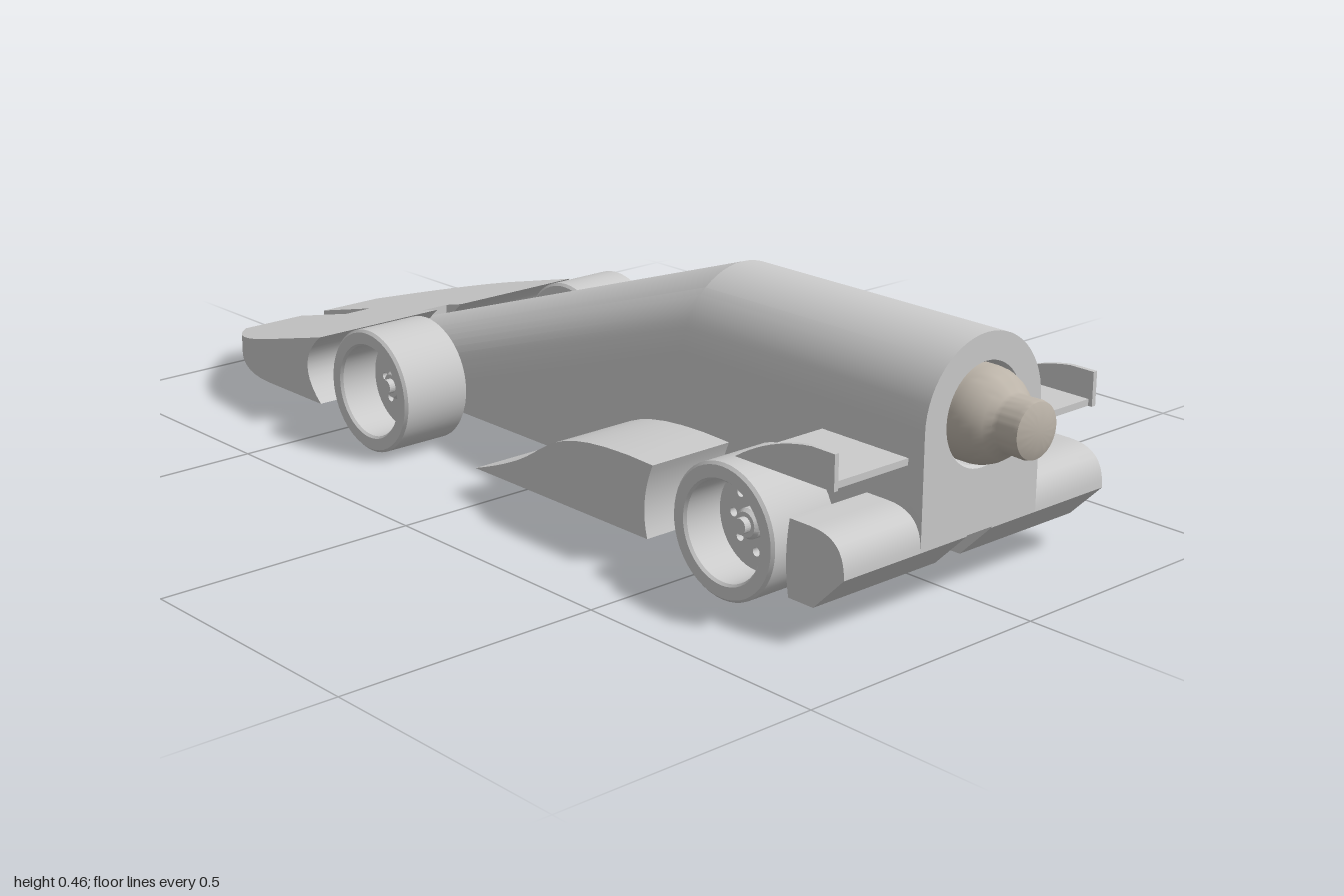
import * as THREE from 'three';
import { toCreasedNormals } from 'three/addons/utils/BufferGeometryUtils.js';

const grey = new THREE.MeshStandardMaterial({ color: 0xcccccc });
const steel = new THREE.MeshStandardMaterial({ color: 0xbbb3a8 });
const BOTTOM = 0.055, GROOVE = 0.11, GROOVE_W = 0.03;

function part(parent, name, geometry, material = grey, crease = 0.3) {
  const mesh = new THREE.Mesh(crease ? toCreasedNormals(geometry, crease) : geometry, material);
  mesh.name = name;
  parent.add(mesh);
  return mesh;
}

// Joins counter-clockwise [x, y] outlines placed from the largest z to the smallest
function loft(stations, outline, capFirst = true) {
  const pos = [], index = [];
  const rings = stations.map(outline);
  const n = rings[0].length;
  rings.forEach((ring, i) => ring.forEach(([x, y]) => pos.push(x, y, stations[i])));
  for (let i = 0; i < rings.length - 1; i++) {
    for (let j = 0; j < n; j++) {
      const a = i * n + j, b = i * n + (j + 1) % n;
      index.push(a, a + n, b, b, a + n, b + n);
    }
  }
  const cap = (i, flip) => {
    const contour = rings[i].map(([x, y]) => new THREE.Vector2(x, y));
    for (const [a, b, c] of THREE.ShapeUtils.triangulateShape(contour, [])) {
      index.push(i * n + a, i * n + (flip ? c : b), i * n + (flip ? b : c));
    }
  };
  if (capFirst) cap(0, false);
  cap(rings.length - 1, true);
  const g = new THREE.BufferGeometry();
  g.setAttribute('position', new THREE.Float32BufferAttribute(pos, 3));
  g.setIndex(index);
  return g;
}

// Extrudes a (z, y) side profile between two x values on side s
function sidePiece(shape, s, x0, x1) {
  const g = new THREE.ExtrudeGeometry(shape, { depth: x1 - x0, bevelEnabled: false, curveSegments: 10 });
  return g.rotateY(-Math.PI / 2).translate(s > 0 ? x1 : -x0, 0, 0);
}

const lathe = (points, segments = 48) =>
  new THREE.LatheGeometry(points.map(([r, h]) => new THREE.Vector2(r, h)), segments);

// Arched body section, with the string groove in its underside
function bodyOutline(z) {
  const top = z > 0.325 ? 0.46 : 0.46 - (0.325 - z) / 3;
  const b = z > 0.82 ? BOTTOM + (z - 0.82) : BOTTOM;
  const g = Math.max(GROOVE, b + 0.002);
  const spring = Math.max(top - 0.14, b + 0.001);
  const pts = [[GROOVE_W, g], [GROOVE_W, b], [0.14, b]];
  for (let i = 0; i <= 28; i++) {
    const a = Math.PI * i / 28;
    pts.push([0.14 * Math.cos(a), spring + (top - spring) * Math.sin(a)]);
  }
  pts.push([-0.14, b], [-GROOVE_W, b], [-GROOVE_W, g]);
  return pts;
}

// Nose wedge height and rounded planform
const noseTop = z => 0.07 + 0.25 * (z + 1);
const noseHalfWidth = z => 0.315 - 0.145 * Math.pow(Math.max(0, (-z - 0.7) / 0.3), 1.8);

function addNose(group) {
  const zs = [-0.565, -0.7, -0.73, -0.76, -0.79, -0.83];
  part(group, 'nose', loft(zs, z => {
    const w = noseHalfWidth(z), t = noseTop(z);
    return [[GROOVE_W, GROOVE], [GROOVE_W, BOTTOM], [w, BOTTOM], [w, t],
      [-w, t], [-w, BOTTOM], [-GROOVE_W, BOTTOM], [-GROOVE_W, GROOVE]];
  }));
  const tips = [-0.83, -0.86, -0.89, -0.92, -0.95, -0.975, -1];
  const back = new THREE.Shape();
  back.moveTo(-0.566, BOTTOM);
  back.lineTo(-0.52, BOTTOM);
  back.quadraticCurveTo(-0.605, 0.125, -0.515, noseTop(-0.515));
  back.lineTo(-0.566, noseTop(-0.566));
  for (const s of [1, -1]) {
    part(group, 'noseTip', loft(tips, z => {
      const w = noseHalfWidth(z), t = noseTop(z);
      const x0 = s > 0 ? GROOVE_W : -w, x1 = s > 0 ? w : -GROOVE_W;
      return [[x0, BOTTOM], [x1, BOTTOM], [x1, t], [x0, t]];
    }));
    part(group, 'noseWheelArch', sidePiece(back, s, GROOVE_W, 0.315));
  }
}

function addWheel(group, s, z) {
  const wheel = new THREE.Group();
  wheel.name = 'wheel';
  const turn = g => g.rotateZ(-s * Math.PI / 2);
  part(wheel, 'tyre', turn(lathe([[0.092, 0.17], [0.114, 0.17], [0.119, 0.175], [0.119, 0.31],
    [0.114, 0.315], [0.092, 0.315], [0.088, 0.31], [0.088, 0.175], [0.092, 0.17]])));
  // Drilled web
  const disc = new THREE.Shape().absarc(0, 0, 0.089, 0, Math.PI * 2);
  for (let i = 0; i < 8; i++) {
    const a = i * Math.PI / 4;
    const hole = new THREE.Path();
    hole.absarc(0.055 * Math.cos(a), 0.055 * Math.sin(a), 0.008, 0, Math.PI * 2, true);
    disc.holes.push(hole);
  }
  const web = new THREE.ExtrudeGeometry(disc, { depth: 0.02, bevelEnabled: false, curveSegments: 20 });
  part(wheel, 'wheelWeb', web.rotateY(Math.PI / 2).translate(s > 0 ? 0.215 : -0.235, 0, 0));
  part(wheel, 'hub', turn(lathe([[0, 0.16], [0.022, 0.16], [0.027, 0.2], [0.027, 0.255],
    [0.022, 0.262], [0.014, 0.262], [0.014, 0.275], [0, 0.275]], 24)));
  wheel.position.set(0, 0.12, z);
  group.add(wheel);
}

export function createModel() {
  const group = new THREE.Group();
  group.name = 'dragster';

  // Body shell, end face with bore
  part(group, 'body', loft([0.885, 0.82, 0.325, -0.48, -0.62], bodyOutline, false), grey, 0.25);
  const face = new THREE.Shape(bodyOutline(0.885).map(([x, y]) => new THREE.Vector2(x, y)));
  const bore = new THREE.Path();
  bore.absarc(0, 0.322, 0.09, 0, Math.PI * 2, true);
  face.holes.push(bore);
  part(group, 'endFace', new THREE.ShapeGeometry(face, 24).translate(0, 0, 0.885));
  const boreGeo = lathe([[0.09, 0.885], [0.086, 0.878], [0.086, 0.8], [0.05, 0.8]]);
  part(group, 'bore', boreGeo.rotateX(Math.PI / 2).translate(0, 0.322, 0),
    new THREE.MeshStandardMaterial({ color: 0xcccccc, side: THREE.DoubleSide }));

  // Gas cartridge
  const cartridge = lathe([[0.082, 0.8], [0.082, 0.885], [0.08, 0.9], [0.073, 0.918], [0.062, 0.934],
    [0.051, 0.944], [0.049, 0.952], [0.05, 0.985], [0.048, 0.993], [0.03, 1], [0, 1]]);
  part(group, 'cartridge', cartridge.rotateX(Math.PI / 2).translate(0, 0.322, 0), steel, 0.6);

  addNose(group);

  // Side profiles, as (z, y)
  const pod = new THREE.Shape();
  pod.moveTo(-0.035, BOTTOM);
  pod.lineTo(0.43, BOTTOM);
  pod.quadraticCurveTo(0.41, 0.12, 0.443, 0.19);
  pod.lineTo(0.38, 0.192);
  pod.bezierCurveTo(0.18, 0.192, 0.17, 0.145, 0.09, 0.105);
  pod.quadraticCurveTo(0.04, 0.08, -0.035, BOTTOM);

  const fairing = new THREE.Shape();
  fairing.moveTo(0.765, BOTTOM);
  fairing.lineTo(0.82, BOTTOM);
  fairing.lineTo(0.885, 0.12);
  fairing.bezierCurveTo(0.885, 0.165, 0.865, 0.19, 0.81, 0.19);
  fairing.lineTo(0.765, 0.19);
  fairing.quadraticCurveTo(0.752, 0.12, 0.765, BOTTOM);

  const plate = new THREE.Shape();
  plate.moveTo(0.64, 0.26);
  plate.lineTo(0.86, 0.26);
  plate.lineTo(0.86, 0.322);
  plate.lineTo(0.81, 0.322);
  plate.quadraticCurveTo(0.72, 0.312, 0.64, 0.26);

  for (const s of [1, -1]) {
    part(group, 'sidePod', sidePiece(pod, s, 0.13, 0.315));
    part(group, 'endFairing', sidePiece(fairing, s, GROOVE_W, 0.315));
    part(group, 'wing', new THREE.BoxGeometry(0.18, 0.012, 0.19).translate(s * 0.22, 0.266, 0.757));
    part(group, 'wingEndPlate', sidePiece(plate, s, 0.307, 0.316));
    for (const z of [0.61, -0.36]) addWheel(group, s, z);
  }

  // Axles
  for (const z of [0.61, -0.36]) {
    const axle = new THREE.CylinderGeometry(0.014, 0.014, 0.52, 20);
    part(group, 'axle', axle.rotateZ(Math.PI / 2).translate(0, 0.12, z));
  }

  // Screw eyes for the guide string
  for (const z of [0.7, -0.64]) {
    const ring = new THREE.TorusGeometry(0.02, 0.006, 10, 28, Math.PI * 1.85);
    part(group, 'screwEye', ring.rotateZ(Math.PI * 0.55).translate(0, 0.074, z), grey, 0);
    part(group, 'screwShank', new THREE.CylinderGeometry(0.006, 0.006, 0.03, 10).translate(0, 0.108, z));
  }
  return group;
}
